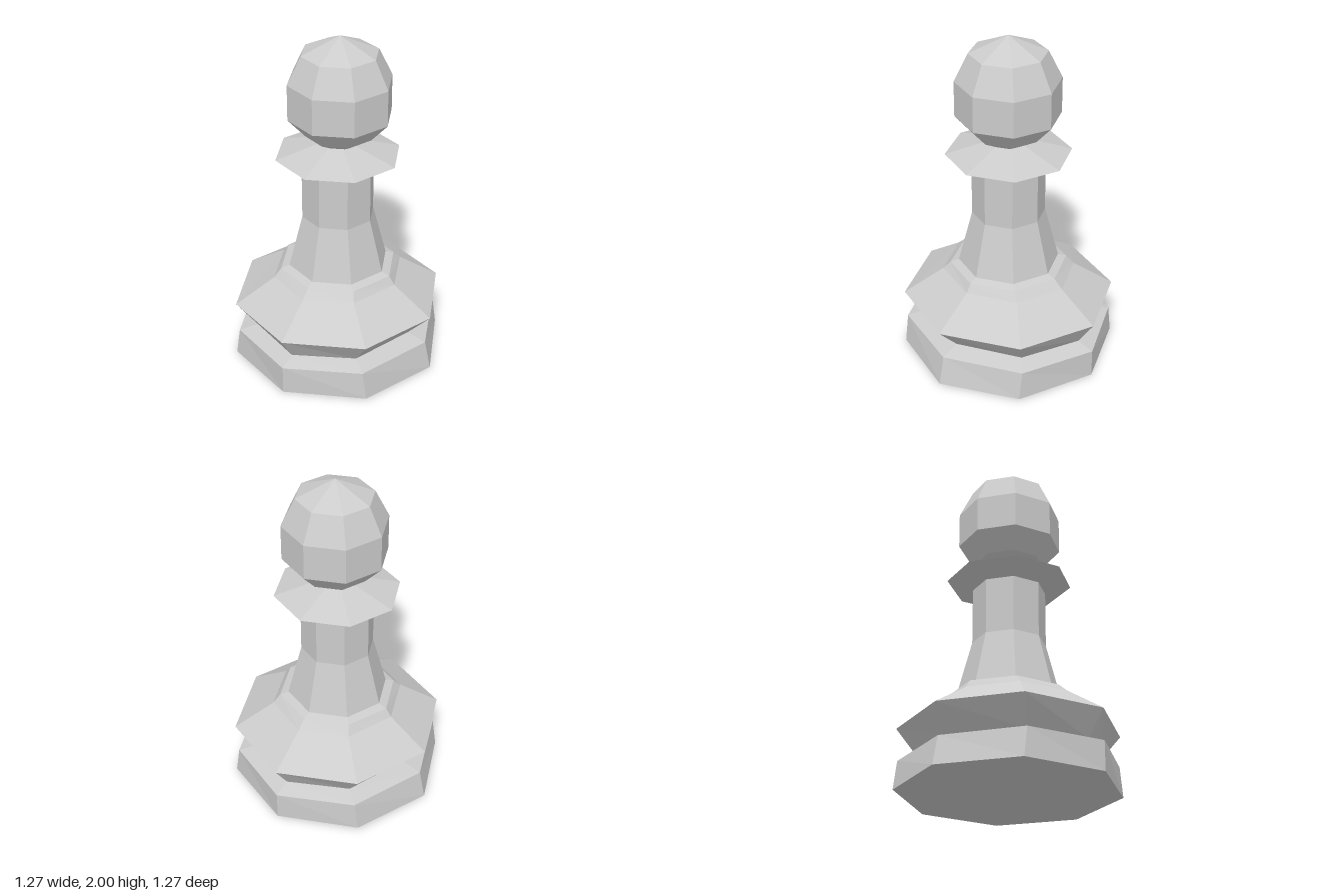
import * as THREE from 'three';

const material = new THREE.MeshStandardMaterial({ color: 0xcccccc, flatShading: true });

// Eight-sided turned part. Each ring is [radius, y, optional width factor along x].
function turned(name, rings) {
  const geometry = new THREE.LatheGeometry(rings.map(([r, y]) => new THREE.Vector2(r, y)), 8);
  const pos = geometry.attributes.position;
  for (let i = 0; i < pos.count; i++) {
    const widthFactor = rings[i % rings.length][2] ?? 1;
    pos.setX(i, pos.getX(i) * widthFactor);
  }
  geometry.computeVertexNormals();
  const mesh = new THREE.Mesh(geometry, material);
  mesh.name = name;
  return mesh;
}

export function createModel() {
  const pawn = new THREE.Group();
  pawn.name = 'pawn';

  // Foot with a flat underside, slightly pinched sideways at the top
  pawn.add(turned('foot', [[0, 0], [0.635, 0], [0.635, 0.17, 0.94], [0.533, 0.2, 0.9]]));

  // Flared skirt and the small shoulder the stem stands on
  pawn.add(turned('skirt', [
    [0.533, 0.2, 0.9], [0.635, 0.352, 0.98], [0.402, 0.508, 0.95],
    [0.347, 0.557], [0.297, 0.573], [0, 0.573],
  ]));

  // Tapered stem
  pawn.add(turned('stem', [[0.297, 0.573], [0.214, 0.894], [0.214, 1.23]]));

  // Thin pointed collar
  pawn.add(turned('collar', [[0.214, 1.23], [0.365, 1.283], [0.105, 1.36], [0, 1.36]]));

  // Faceted ball head, set slightly off centre
  const head = turned('head', [
    [0, 1.358], [0.105, 1.358], [0.2, 1.413], [0.302, 1.525],
    [0.302, 1.737], [0.222, 1.9], [0, 2],
  ]);
  head.position.set(0.01, 0, -0.006);
  pawn.add(head);

  return pawn;
}
